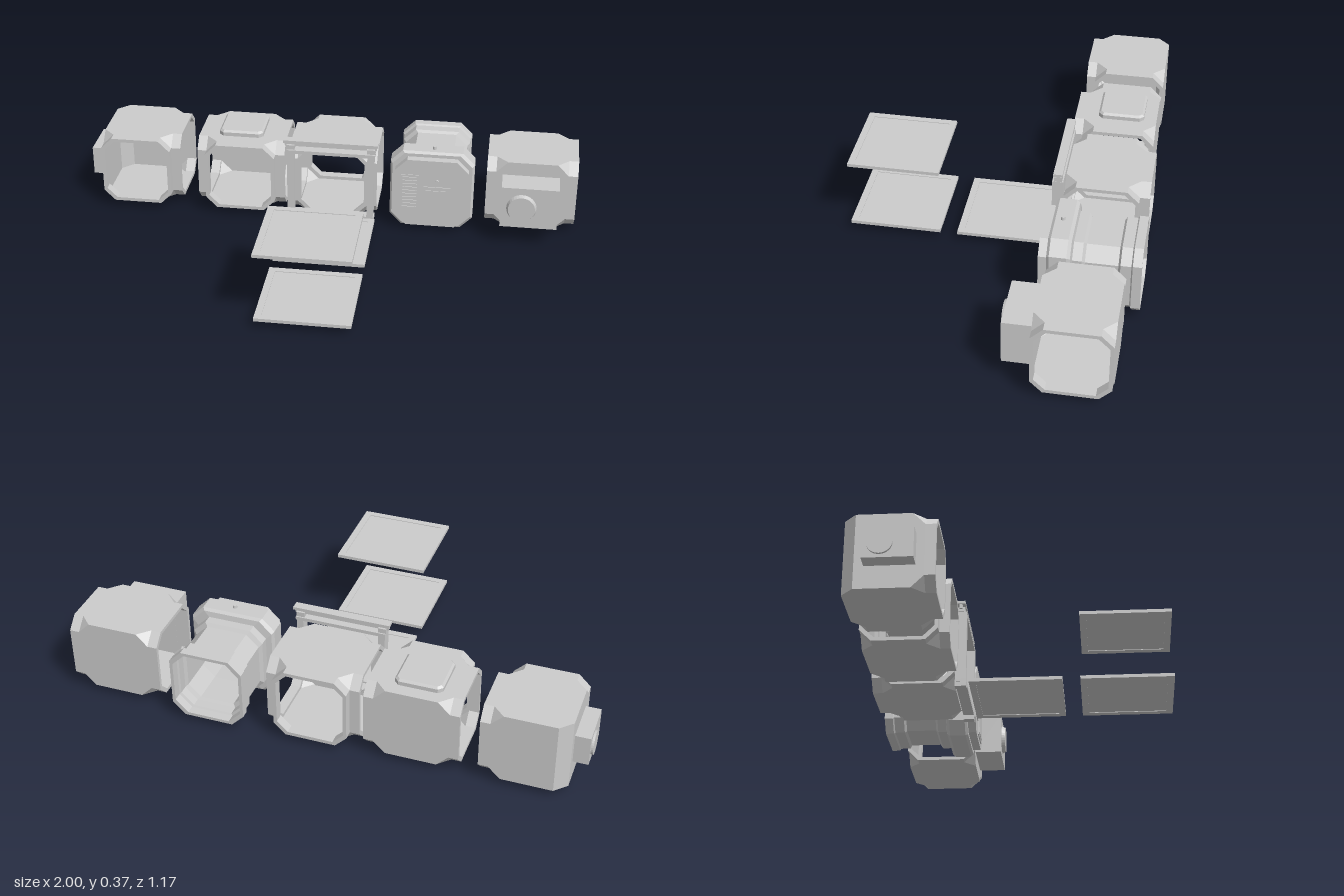
import * as THREE from 'three';

const mat = new THREE.MeshStandardMaterial({ color: 0xcccccc, flatShading: true, side: THREE.DoubleSide });
const H = 0.1425, CUT = 0.045, RING = 0.0375, CY = 0.17;

// Rotation that turns local +z towards each side of a module
const SIDES = {
  front: [0, 0, 0], back: [0, Math.PI, 0], left: [0, Math.PI / 2, 0], right: [0, -Math.PI / 2, 0],
  top: [-Math.PI / 2, 0, 0], bottom: [Math.PI / 2, 0, 0],
};

function add(parent, name, geometry, x = 0, y = 0, z = 0) {
  const mesh = new THREE.Mesh(geometry, mat);
  mesh.name = name;
  mesh.position.set(x, y, z);
  parent.add(mesh);
  return mesh;
}

// Box given by its limits
function box(parent, name, x0, x1, y0, y1, z0, z1) {
  return add(parent, name, new THREE.BoxGeometry(x1 - x0, y1 - y0, z1 - z0),
    (x0 + x1) / 2, (y0 + y1) / 2, (z0 + z1) / 2);
}

function octPoints(h, c) {
  const k = h - c;
  return [[k, -h], [h, -k], [h, k], [k, h], [-k, h], [-h, k], [-h, -k], [-k, -h]]
    .map(([x, y]) => new THREE.Vector2(x, y));
}

// Shape with an octagonal hole, pushed out along z
function frame(h, c, hi, ci, depth) {
  const shape = new THREE.Shape(octPoints(h, c));
  shape.holes.push(new THREE.Path(octPoints(hi, ci)));
  return new THREE.ExtrudeGeometry(shape, { depth, bevelEnabled: false });
}

// Bevelled block: rectangle extruded along z with a small chamfer
function bevelled(w, h, depth, bevel, corner = 0.012) {
  const a = w / 2 - bevel, b = h / 2 - bevel, c = corner;
  const s = new THREE.Shape([[a - c, -b], [a, c - b], [a, b - c], [a - c, b], [c - a, b], [-a, b - c], [-a, c - b], [c - a, -b]]
    .map(([x, y]) => new THREE.Vector2(x, y)));
  return new THREE.ExtrudeGeometry(s, { depth: depth - bevel, bevelEnabled: true, bevelSize: bevel, bevelThickness: bevel, bevelSegments: 1 });
}

// Panel or collar on one side of a module
function place(parent, name, side, geometry) {
  const holder = new THREE.Group();
  holder.rotation.set(...SIDES[side]);
  holder.name = side + name;
  add(holder, name, geometry, 0, 0, H);
  parent.add(holder);
}

// Cube with cut corners: collars on the open sides, panels on the rest
function habModule(parent, name, x, z, collars, bare = [], cutBackEdge = false) {
  const g = new THREE.Group();
  g.name = name;
  g.position.set(x, CY, z);
  parent.add(g);
  const k = H - CUT;
  for (const side of Object.keys(SIDES)) {
    if (bare.includes(side)) {
      const rim = frame(H, CUT, 0.129, 0.041, 0.01);
      rim.translate(0, 0, -0.01);
      place(g, 'Rim', side, rim);
    } else if (collars.includes(side)) {
      place(g, 'Collar', side, frame(H, CUT, 0.129, 0.041, RING));
    } else {
      let pts = octPoints(H, CUT);
      if (cutBackEdge && side === 'right') pts = pts.map(p => p.x < 0 ? new THREE.Vector2(-k, Math.sign(p.y) * H) : p);
      if (cutBackEdge && side === 'back') pts = pts.map(p => p.x > 0 ? new THREE.Vector2(k, Math.sign(p.y) * H) : p);
      pts = pts.filter((p, i) => !p.equals(pts[(i + 1) % pts.length]));
      place(g, 'Panel', side, new THREE.ShapeGeometry(new THREE.Shape(pts)));
    }
  }
  // Triangular corner gussets
  for (const sx of [-1, 1]) for (const sy of [-1, 1]) for (const sz of [-1, 1]) {
    if (cutBackEdge && sx < 0 && sz < 0) continue;
    const p = [[sx * H, sy * H, sz * k], [sx * k, sy * H, sz * H], [sx * H, sy * k, sz * H]];
    if (sx * sy * sz > 0) p.reverse();
    const geo = new THREE.BufferGeometry();
    geo.setAttribute('position', new THREE.Float32BufferAttribute(p.flat(), 3));
    geo.computeVertexNormals();
    add(g, 'cornerGusset', geo);
  }
  if (cutBackEdge) {
    const m = (H + k) / 2;
    const wall = add(g, 'chamferWall', new THREE.PlaneGeometry(CUT * Math.SQRT2, 2 * H), -m, 0, -m);
    wall.rotation.y = -Math.PI * 0.75;
  }
  return g;
}

// Surface through octagons of given [half width, z]
function octTube(stations) {
  const pos = [];
  const rings = stations.map(([h, z]) => octPoints(h, 0.048).map(p => [p.x, p.y, z]));
  for (let i = 0; i + 1 < rings.length; i++) {
    for (let j = 0; j < 8; j++) {
      const n = (j + 1) % 8, a = rings[i][j], b = rings[i][n], c = rings[i + 1][n], d = rings[i + 1][j];
      pos.push(...a, ...b, ...c, ...a, ...c, ...d);
    }
  }
  const geo = new THREE.BufferGeometry();
  geo.setAttribute('position', new THREE.Float32BufferAttribute(pos, 3));
  geo.computeVertexNormals();
  return geo;
}

export function createModel() {
  const model = new THREE.Group();
  model.name = 'stationKit';

  // Corner module with side port
  habModule(model, 'cornerModule', -0.792, -0.4125, ['left', 'front'], [], true);
  box(model, 'sidePort', -0.992, -0.934, 0.113, 0.23, -0.476, -0.3);
  const sideDisc = add(model, 'sidePortDisc', new THREE.CylinderGeometry(0.045, 0.045, 0.008, 32), -0.996, CY, -0.415);
  sideDisc.rotation.z = Math.PI / 2;

  // Three-way module with roof hatch
  habModule(model, 'threeWayModule', -0.36, -0.4125, ['left', 'right', 'front']);
  const hatch = add(model, 'roofHatch', bevelled(0.18, 0.18, 0.025, 0.008), -0.368, 0.311, -0.415);
  hatch.rotation.x = -Math.PI / 2;

  // Four-way module with door frame
  habModule(model, 'fourWayModule', 0.02, -0.395, ['left', 'right', 'back'], ['front']);
  const door = new THREE.Group();
  door.name = 'doorFrame';
  model.add(door);
  box(door, 'topRail', -0.175, 0.205, 0.355, 0.366, -0.248, -0.213);
  box(door, 'railWeb', -0.17, 0.2, 0.338, 0.357, -0.237, -0.225);
  box(door, 'topBeam', -0.16, 0.195, 0.312, 0.326, -0.25, -0.208);
  box(door, 'sill', -0.16, 0.195, 0.03, 0.044, -0.25, -0.208);
  for (const x of [-0.146, 0.178]) {
    box(door, 'post', x - 0.013, x + 0.013, 0.012, 0.326, -0.25, -0.208);
    box(door, 'foot', x - 0.016, x + 0.016, 0.012, 0.026, -0.245, -0.207);
    box(door, 'hanger', x - 0.016, x + 0.016, 0.326, 0.345, -0.245, -0.215);
  }

  // Airlock: stepped octagonal tube, open at the back
  const lock = new THREE.Group();
  lock.name = 'airlock';
  lock.position.set(0.423, 0.168, 0);
  model.add(lock);
  add(lock, 'airlockShell', octTube([
    [0.12, -0.26], [0.115, -0.37], [0.115, -0.5], [0.125, -0.51], [0.125, -0.545], [0.131, -0.55], [0.131, -0.585],
    [0.143, -0.585], [0.143, -0.552], [0.137, -0.547], [0.137, -0.508], [0.127, -0.5], [0.127, -0.38],
    [0.139, -0.37], [0.139, -0.335], [0.16, -0.33], [0.168, -0.318], [0.168, -0.255], [0.16, -0.245],
    [0.147, -0.245], [0.147, -0.213],
  ]));
  for (const [h, z] of [[0.147, -0.213], [0.12, -0.26]]) {
    add(lock, 'airlockWall', new THREE.ShapeGeometry(new THREE.Shape(octPoints(h, 0.048))), 0, 0, z);
  }
  box(model, 'airlockDoor', 0.392, 0.5, 0.04, 0.2, -0.214, -0.209);
  box(model, 'airlockDoorPanel', 0.402, 0.49, 0.05, 0.185, -0.21, -0.206);
  box(model, 'ventPlate', 0.302, 0.372, 0.09, 0.25, -0.214, -0.21);
  for (let i = 0; i < 10; i++) {
    const y = 0.104 + i * 0.0148;
    box(model, 'ventSlat', 0.308, 0.366, y - 0.004, y + 0.004, -0.211, -0.206);
  }
  const knob = add(model, 'airlockLamp', new THREE.CylinderGeometry(0.008, 0.008, 0.01, 16), 0.446, 0.225, -0.21);
  knob.rotation.x = Math.PI / 2;
  add(model, 'roofLamp', new THREE.CylinderGeometry(0.008, 0.009, 0.016, 16), 0.428, 0.34, -0.283);

  // Straight module with front port
  habModule(model, 'straightModule', 0.82, -0.395, ['left', 'right']);
  box(model, 'frontPort', 0.703, 0.928, 0.083, 0.257, -0.253, -0.143);
  const disc = add(model, 'frontPortDisc', new THREE.CylinderGeometry(0.053, 0.06, 0.016, 32), 0.785, CY, -0.136);
  disc.rotation.x = Math.PI / 2;

  // Loose floor and ceiling plates: rim around a thinner panel
  for (const [name, y, z] of [['nearFloorPlate', 0.036, -0.02], ['farFloorPlate', 0.036, 0.403], ['ceilingPlate', 0.307, 0.403]]) {
    const plate = new THREE.Group();
    plate.name = name;
    plate.position.set(0.02, y, z);
    model.add(plate);
    for (const s of [-1, 1]) {
      add(plate, 'plateRim', new THREE.BoxGeometry(0.36, 0.013, 0.026), 0, 0, s * 0.165);
      add(plate, 'plateRim', new THREE.BoxGeometry(0.026, 0.013, 0.304), s * 0.167, 0, 0);
    }
    add(plate, 'platePanel', new THREE.BoxGeometry(0.31, 0.008, 0.306));
  }
  return model;
}
